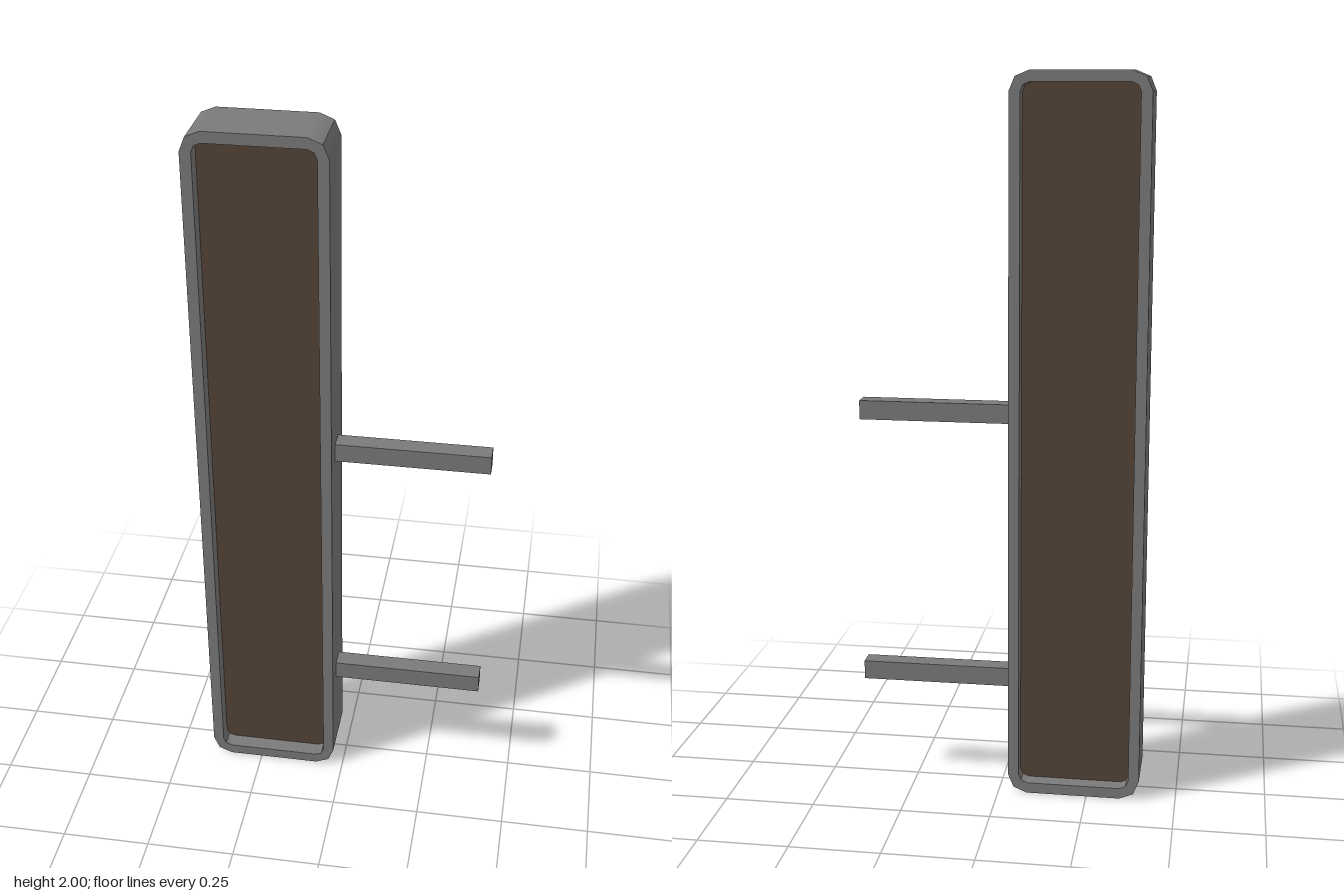
import * as THREE from 'three';
import { toCreasedNormals } from 'three/addons/utils/BufferGeometryUtils.js';

const CX = -0.2125, CY = 1; // centre of the sign box

// Rectangle outline with two-segment rounded corners
function roundedRect(w, h, r) {
  const pts = [];
  const corners = [[1, 1], [-1, 1], [-1, -1], [1, -1]];
  corners.forEach(([sx, sy], i) => {
    for (let k = 0; k <= 2; k++) {
      const a = (i + k / 2) * Math.PI / 2;
      pts.push(new THREE.Vector2(
        sx * (w / 2 - r) + r * Math.cos(a),
        sy * (h / 2 - r) + r * Math.sin(a)));
    }
  });
  return pts;
}

// Extrude an outline, centred in depth; corners shade softly into flat sides
function slab(shape, depth) {
  const extruded = new THREE.ExtrudeGeometry(shape, { depth, bevelEnabled: false });
  extruded.translate(CX, CY, -depth / 2);
  const geo = toCreasedNormals(extruded, Math.PI / 6);
  const normal = geo.attributes.normal;
  const n = new THREE.Vector3();
  for (let i = 0; i < normal.count; i++) {
    n.fromBufferAttribute(normal, i);
    // Normals close to an axis belong to a flat side
    if (Math.max(Math.abs(n.x), Math.abs(n.y), Math.abs(n.z)) > 0.96) n.round();
    normal.setXYZ(i, n.x, n.y, n.z);
  }
  return geo;
}

export function createModel() {
  const group = new THREE.Group();
  const grey = new THREE.MeshStandardMaterial({ color: 0x7a7a7a });
  const brown = new THREE.MeshStandardMaterial({ color: 0x534337 });
  const add = (name, geo, mat) => {
    const mesh = new THREE.Mesh(geo, mat);
    mesh.name = name;
    group.add(mesh);
    return mesh;
  };

  // Rounded frame, open front and back
  const outline = new THREE.Shape(roundedRect(0.371, 2, 0.054));
  outline.holes.push(new THREE.Path(roundedRect(0.311, 1.94, 0.025).reverse()));
  add('frame', slab(outline, 0.174), grey);

  // Recessed panel, seen from both sides
  add('panel', slab(new THREE.Shape(roundedRect(0.313, 1.942, 0.025)), 0.084), brown);

  // Two square mounting arms
  [['lowerArm', 0.321], ['upperArm', 1.084]].forEach(([name, y]) => {
    add(name, new THREE.BoxGeometry(0.43, 0.053, 0.053), grey).position.set(0.183, y, 0);
  });

  return group;
}
